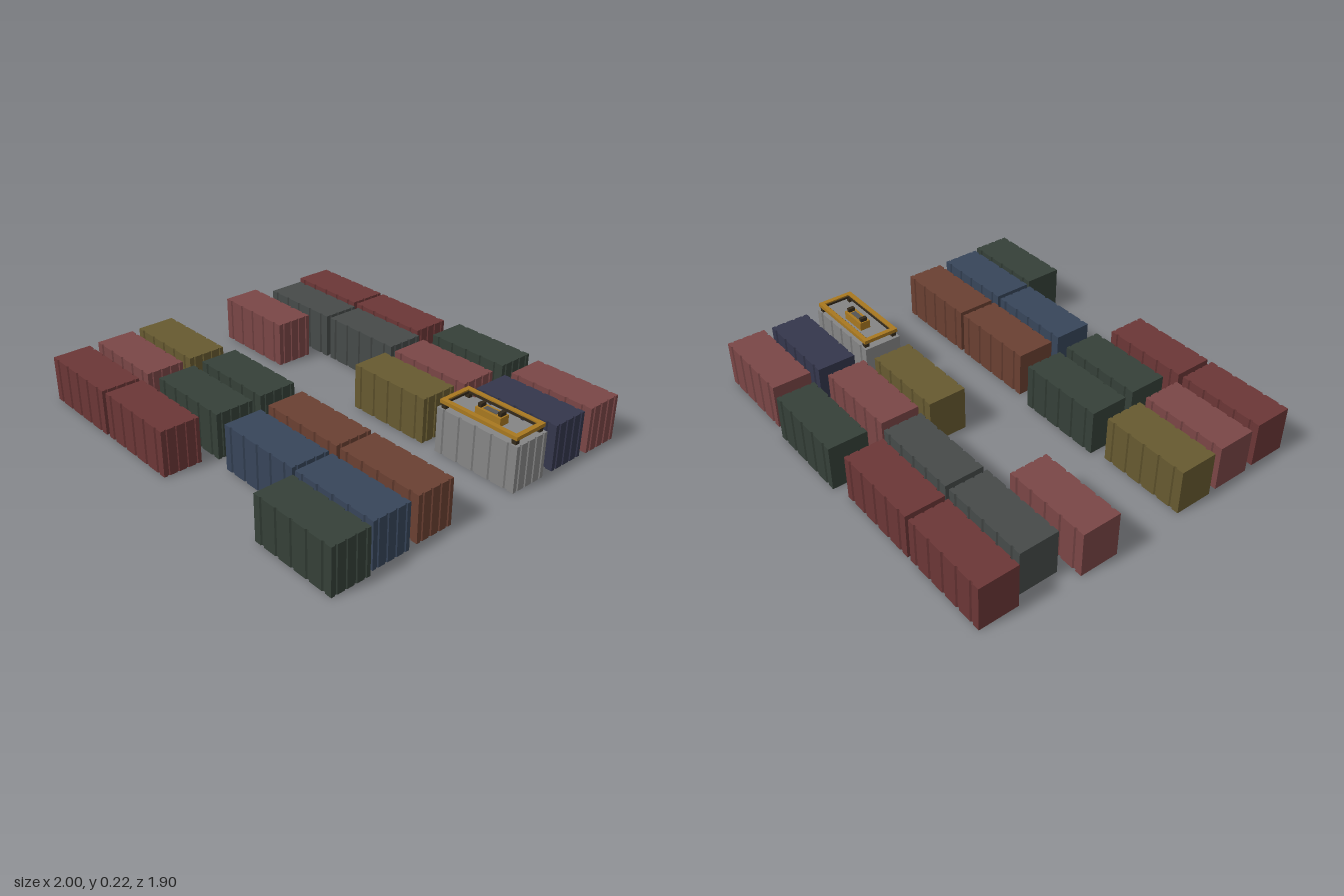
import * as THREE from 'three';

const L = 0.348, W = 0.15, H = 0.175;

const COLORS = {
  darkRed: 0x6b3636, red: 0x7a4646, brown: 0x6a4032, yellow: 0x675a30, green: 0x354038,
  blue: 0x37455a, navy: 0x34364c, slate: 0x464a49, grey: 0x858585,
};

// colour, centre x, centre z of every container in the yard
const YARD = [
  ['darkRed', -0.216, -0.80], ['darkRed', 0.10, -0.618],
  ['slate', -0.276, -0.631], ['slate', 0.042, -0.449],
  ['red', -0.425, -0.49],
  ['green', 0.467, -0.431], ['red', 0.367, -0.247], ['yellow', 0.26, -0.093],
  ['red', 0.809, -0.214], ['navy', 0.714, -0.06], ['grey', 0.615, 0.114],
  ['yellow', -0.632, -0.113], ['red', -0.721, 0.048], ['darkRed', -0.811, 0.214],
  ['darkRed', -0.492, 0.396],
  ['green', -0.278, 0.067], ['green', -0.368, 0.234],
  ['brown', 0.072, 0.29], ['brown', 0.389, 0.474],
  ['blue', -0.016, 0.455], ['blue', 0.30, 0.639], ['green', 0.226, 0.792],
];

const material = (color) => new THREE.MeshStandardMaterial({ color, flatShading: true });

function box(parent, name, mat, size, pos) {
  const mesh = new THREE.Mesh(new THREE.BoxGeometry(...size), mat);
  mesh.name = name;
  mesh.position.set(...pos);
  parent.add(mesh);
}

// Edge of the plan from a to b, with evenly spaced grooves cut inwards (to the left)
function groovedEdge(points, a, b, count, width, depth) {
  const dir = b.clone().sub(a);
  const len = dir.length();
  dir.normalize();
  const inward = new THREE.Vector2(-dir.y, dir.x);
  const at = (s, d) => points.push(a.clone().addScaledVector(dir, s).addScaledVector(inward, d));
  at(0, 0);
  for (let i = 0; i < count; i++) {
    const c = len * (i + 0.5) / count, h = width / 2;
    at(c - h, 0);
    at(c - h * 0.5, depth);
    at(c + h * 0.5, depth);
    at(c + h, 0);
  }
}

// Container body: grooved plan raised to full height, plain back end, door end at +x
function containerGeometry() {
  const [a, b, c, d] = [[-1, -1], [1, -1], [1, 1], [-1, 1]]
    .map(([x, y]) => new THREE.Vector2(x * L / 2, y * W / 2));
  const points = [];
  groovedEdge(points, a, b, 5, 0.016, 0.005);
  groovedEdge(points, b, c, 4, 0.010, 0.004);
  groovedEdge(points, c, d, 5, 0.016, 0.005);
  points.push(d);
  const geo = new THREE.ExtrudeGeometry(new THREE.Shape(points), { depth: H, bevelEnabled: false });
  return geo.rotateX(-Math.PI / 2);
}

// Rectangular ring lying flat
function ringGeometry(l, w, bar, height) {
  const rect = (Type, x, y) => new Type([[-x, -y], [x, -y], [x, y], [-x, y]]
    .map((p) => new THREE.Vector2(...p)));
  const shape = rect(THREE.Shape, l / 2, w / 2);
  shape.holes.push(rect(THREE.Path, l / 2 - bar, w / 2 - bar));
  return new THREE.ExtrudeGeometry(shape, { depth: height, bevelEnabled: false }).rotateX(-Math.PI / 2);
}

// Lifting frame resting on a container
function createSpreader() {
  const spreader = new THREE.Group();
  spreader.name = 'liftingSpreader';
  const ochre = material(0xa87820), dark = material(0x33291a), steel = material(0x555555);

  const frame = new THREE.Mesh(ringGeometry(0.333, 0.142, 0.018, 0.014), ochre);
  frame.name = 'spreaderFrame';
  frame.position.y = 0.193;
  spreader.add(frame);

  const lining = new THREE.Mesh(ringGeometry(0.297, 0.106, 0.004, 0.008), dark);
  lining.name = 'frameLining';
  lining.position.y = 0.194;
  spreader.add(lining);

  for (const sx of [-1, 1]) {
    for (const sz of [-1, 1]) {
      box(spreader, 'cornerLock', dark, [0.018, 0.022, 0.018], [sx * 0.152, 0.185, sz * 0.059]);
    }
    box(spreader, 'liftingLug', dark, [0.014, 0.014, 0.026], [sx * 0.043, 0.214, 0]);
  }

  // central head block
  box(spreader, 'headBlock', ochre, [0.11, 0.032, 0.042], [0, 0.191, 0]);
  box(spreader, 'headPlate', steel, [0.055, 0.003, 0.02], [0, 0.208, 0]);
  return spreader;
}

export function createModel() {
  const model = new THREE.Group();
  model.name = 'containerYard';
  const geometry = containerGeometry();
  const mats = {};
  for (const key in COLORS) mats[key] = material(COLORS[key]);

  YARD.forEach(([color, x, z]) => {
    const stack = new THREE.Group();
    stack.name = 'container';
    stack.position.set(x, 0, z);
    stack.rotation.y = -Math.PI / 6;
    const body = new THREE.Mesh(geometry, mats[color]);
    body.name = 'containerBody';
    stack.add(body);
    if (color === 'grey') stack.add(createSpreader());
    model.add(stack);
  });
  return model;
}
